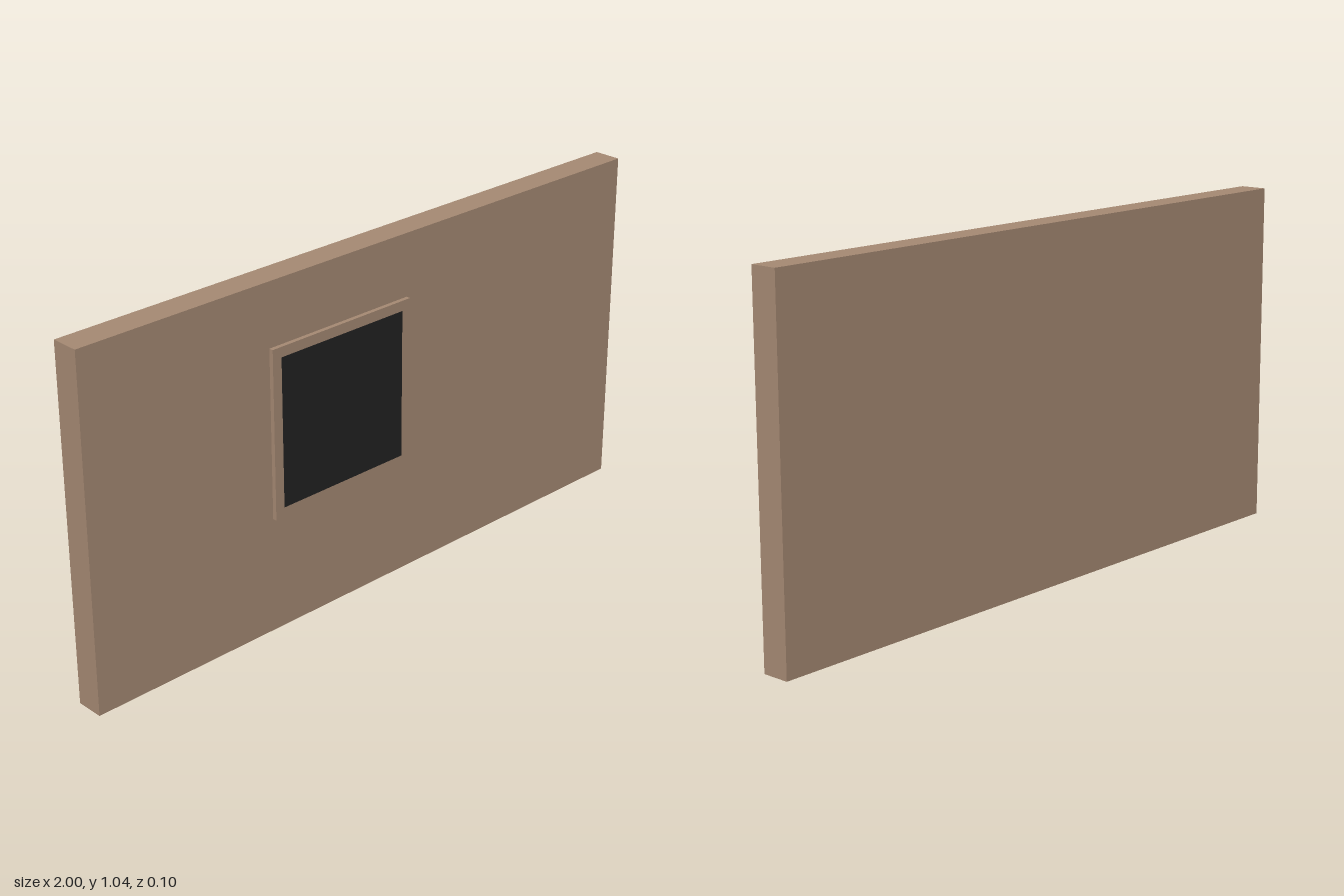
import * as THREE from 'three';

const wood = new THREE.MeshStandardMaterial({ color: 0xa58973 });
wood.name = 'brown';
const dark = new THREE.MeshStandardMaterial({ color: 0x222222 });
dark.name = 'near black';

// Box given by its minimum and maximum corners
function block(name, material, [x0, y0, z0], [x1, y1, z1]) {
  const mesh = new THREE.Mesh(new THREE.BoxGeometry(x1 - x0, y1 - y0, z1 - z0), material);
  mesh.position.set((x0 + x1) / 2, (y0 + y1) / 2, (z0 + z1) / 2);
  mesh.name = name;
  return mesh;
}

export function createModel() {
  const group = new THREE.Group();
  group.name = 'panelWithWindow';

  // Main slab
  group.add(block('panel', wood, [-1, 0, -0.048], [1, 1.037, 0.035]));

  // Raised square surround, off centre
  group.add(block('windowFrame', wood, [-0.39, 0.347, 0.035], [0.113, 0.85, 0.048]));

  // Dark pane painted on the surround
  group.add(block('windowPane', dark, [-0.36, 0.377, 0.047], [0.083, 0.82, 0.049]));

  return group;
}
